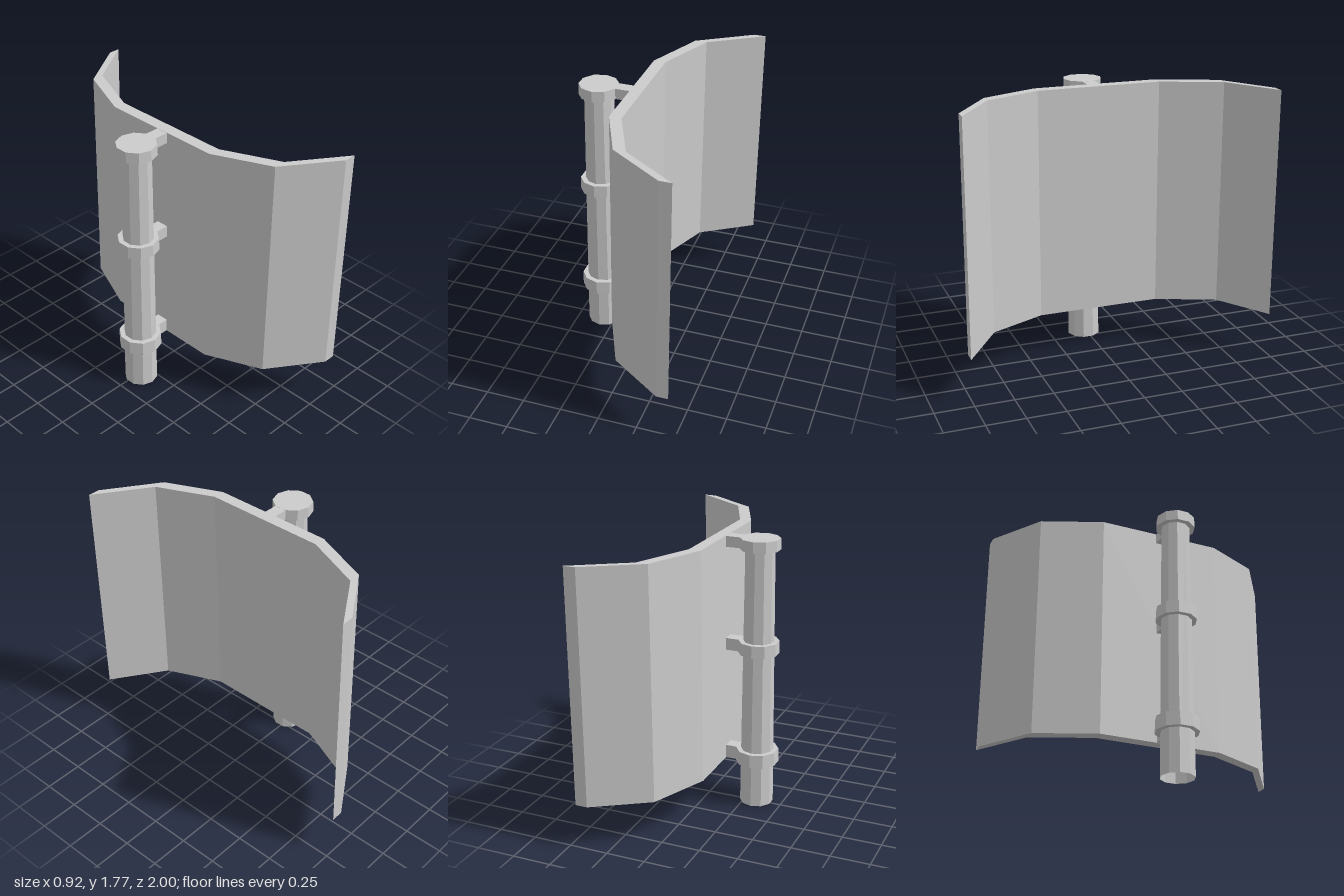
import * as THREE from 'three';

const POLE_X = -0.327, POLE_Z = 0.017, SIDES = 10;
const BOTTOM = 0.285, TOP = 1.775;

export function createModel() {
  const group = new THREE.Group();
  const grey = new THREE.MeshStandardMaterial({ color: 0xcccccc, flatShading: true });
  const thin = grey.clone();
  thin.side = THREE.DoubleSide;

  const add = (name, geometry, x, y, z, material = grey) => {
    const mesh = new THREE.Mesh(geometry, material);
    mesh.name = name;
    mesh.position.set(x, y, z);
    group.add(mesh);
    return mesh;
  };

  // Tapered pole, open at the foot
  const poleTop = 1.74;
  add('pole', new THREE.CylinderGeometry(0.092, 0.108, poleTop, SIDES, 1, true),
    POLE_X, poleTop / 2, POLE_Z, thin);

  // Three collars, each with an arm reaching to the panel
  const collars = [
    [0.285, 0.375, 0.138],
    [1.035, 1.115, 0.131],
    [1.705, 1.775, 0.126],
  ];
  for (const [y0, y1, r] of collars) {
    const h = y1 - y0, y = (y0 + y1) / 2;
    add('collar', new THREE.CylinderGeometry(r - 0.001, r + 0.001, h, SIDES), POLE_X, y, POLE_Z);
    const x0 = POLE_X + r * 0.8, x1 = -0.1;
    add('arm', new THREE.BoxGeometry(x1 - x0, h - 0.002, 0.08), (x0 + x1) / 2, y, POLE_Z - 0.001);
  }

  // Folded panel: a strip of constant width in x, extruded upwards
  const back = [[0.378, -1], [0.036, -0.78], [-0.122, -0.4], [-0.122, 0.405], [0.036, 0.765], [0.378, 1]];
  const front = back.map(([x, z]) => [x + 0.077, z]).reverse();
  const shape = new THREE.Shape([...back, ...front].map(([x, z]) => new THREE.Vector2(x, z)));
  const panel = new THREE.ExtrudeGeometry(shape, { depth: TOP - BOTTOM, bevelEnabled: false });
  panel.rotateX(Math.PI / 2).translate(0, TOP, 0);

  // Slight lean of the panel away from the pole
  const p = panel.attributes.position;
  for (let i = 0; i < p.count; i++) {
    p.setX(i, p.getX(i) + 0.01 * (p.getY(i) - BOTTOM) / (TOP - BOTTOM) - 0.003);
  }
  panel.computeVertexNormals();
  add('panel', panel, 0, 0, 0);

  return group;
}
